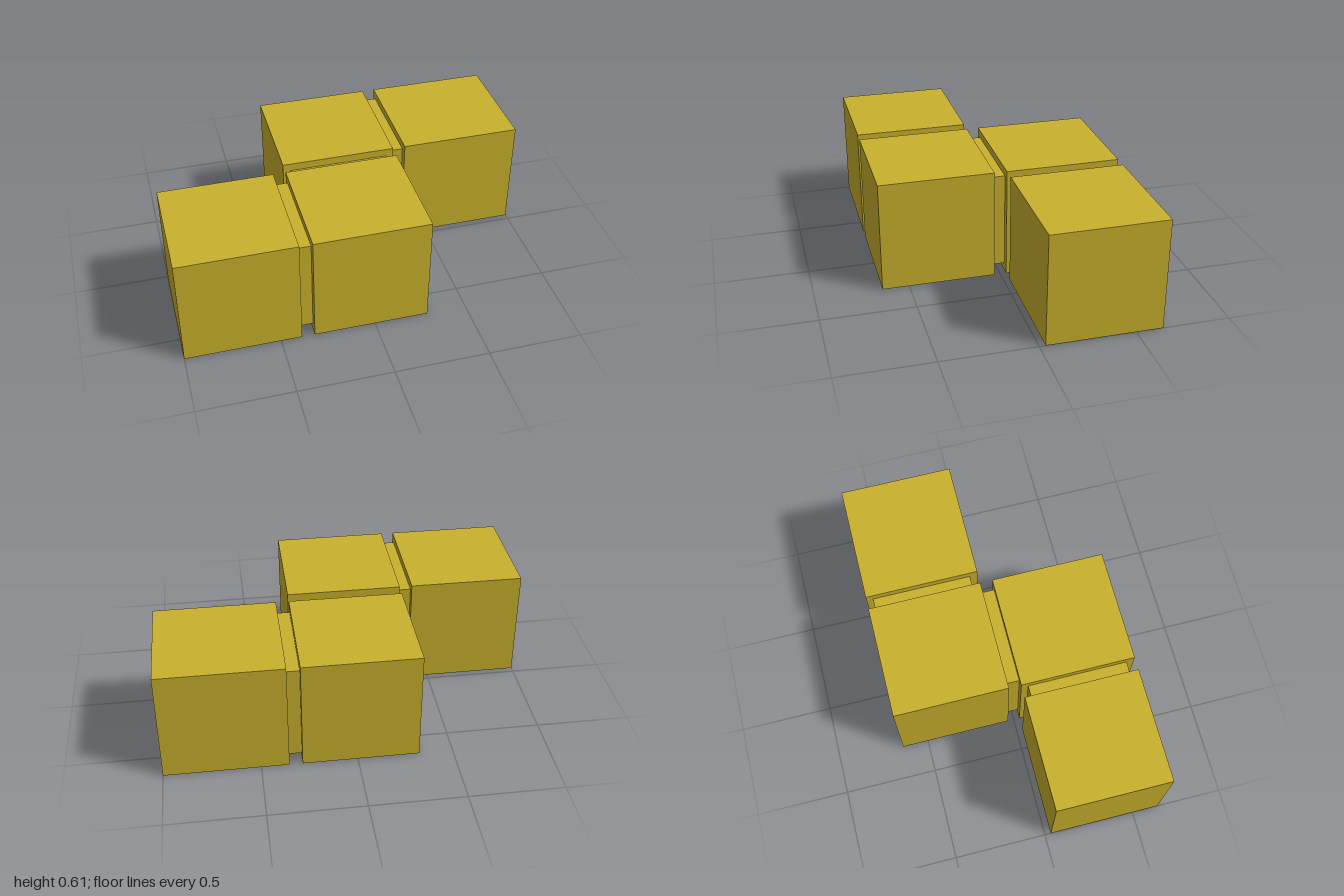
import * as THREE from 'three';

export function createModel() {
  const group = new THREE.Group();
  const yellow = new THREE.MeshStandardMaterial({ color: 0xc8b02c });
  yellow.name = 'mustard yellow';

  // Box given by its extents on each axis
  function block(name, [x0, x1], [y0, y1], [z0, z1]) {
    const mesh = new THREE.Mesh(new THREE.BoxGeometry(x1 - x0, y1 - y0, z1 - z0), yellow);
    mesh.position.set((x0 + x1) / 2, (y0 + y1) / 2, (z0 + z1) / 2);
    mesh.name = name;
    group.add(mesh);
  }

  const height = [0, 0.605], inner = [0.042, 0.563];
  const front = [0.033, 0.643], back = [-0.643, -0.033];
  const middle = [-0.323, 0.287];

  // Four cubes in a zigzag
  block('frontRightCube', [-1, -0.39], height, front);
  block('frontMiddleCube', middle, height, front);
  block('backMiddleCube', middle, height, back);
  block('backLeftCube', [0.355, 1], height, back);

  // Recessed connectors between neighbouring cubes
  block('frontConnector', [-0.39, -0.323], inner, [0.07, 0.603]);
  block('centreConnector', [-0.283, 0.247], inner, [-0.033, 0.033]);
  block('backConnector', [0.287, 0.355], inner, [-0.608, -0.075]);

  return group;
}
